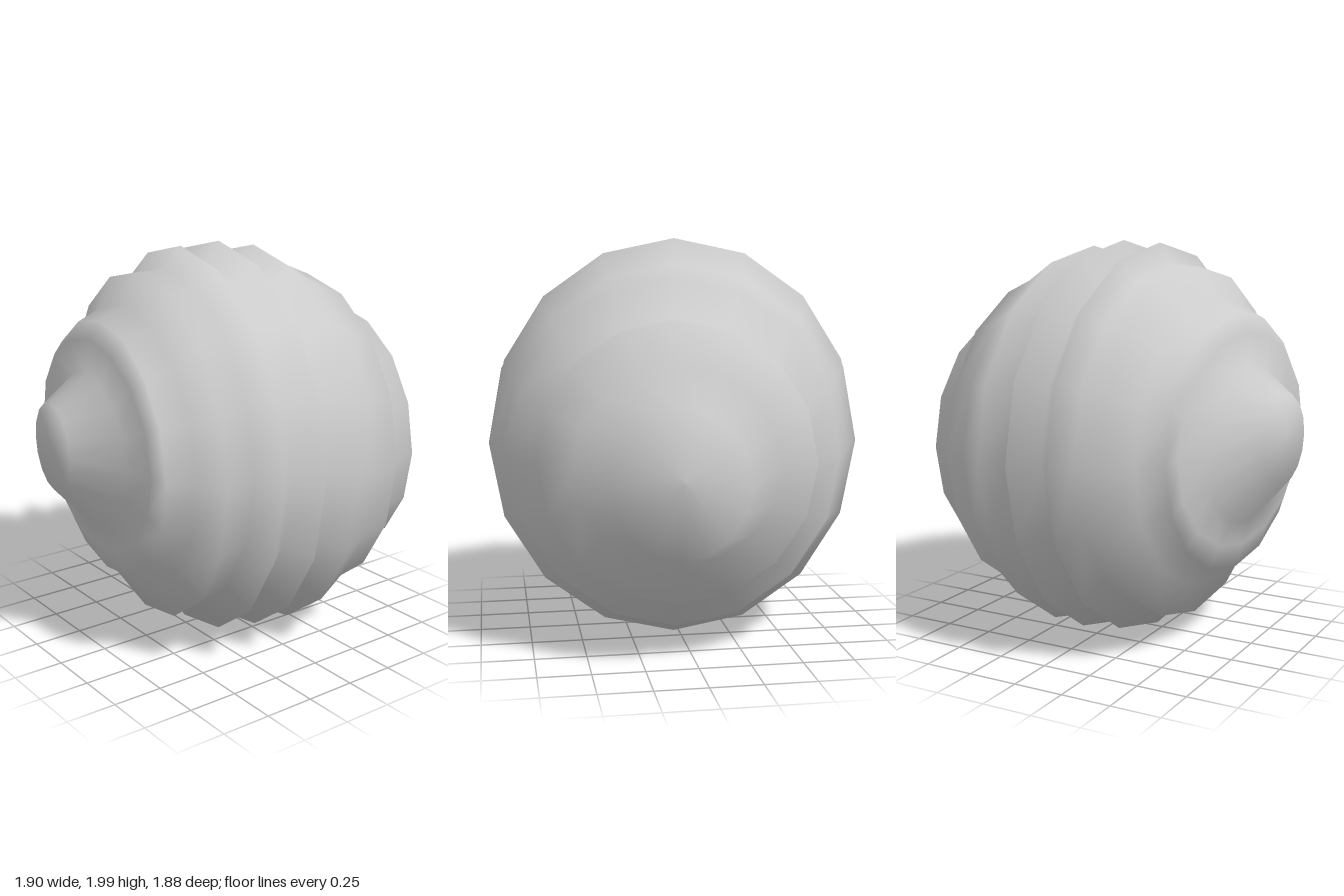
import * as THREE from 'three';

const SIDES = 16;
const SKEW = 0.105; // rings lean: x falls as z grows

// Cross-sections along x: [x, top y, bottom y, back z, front z]
const RINGS = [
  [-0.955, 1.09, 1.09, -0.1, -0.1],
  [-0.95, 1.30, 0.87, -0.31, 0.1],
  [-0.76, 1.42, 0.66, -0.48, 0.31],
  [-0.74, 1.58, 0.55, -0.69, 0.52],
  [-0.69, 1.67, 0.42, -0.71, 0.58],
  [-0.56, 1.73, 0.33, -0.75, 0.64],
  [-0.47, 1.88, 0.15, -0.88, 0.76],
  [-0.32, 1.885, 0.19, -0.85, 0.76],
  [-0.24, 1.99, 0.04, -0.94, 0.885],
  [-0.135, 1.88, 0.15, -0.83, 0.80],
  [-0.025, 2.0, 0.01, -0.94, 0.925],
  [0.065, 1.88, 0.13, -0.81, 0.83],
  [0.17, 1.97, 0.01, -0.89, 0.94],
  [0.33, 1.87, 0.11, -0.80, 0.88],
  [0.50, 1.80, 0.14, -0.71, 0.84],
  [0.55, 1.62, 0.29, -0.56, 0.73],
  [0.71, 1.62, 0.31, -0.55, 0.73],
  [0.735, 1.41, 0.50, -0.38, 0.57],
  [0.92, 1.25, 0.56, -0.2, 0.42],
  [0.95, 0.92, 0.92, 0.1, 0.1],
];

// Lofts elliptical rings into one closed smooth skin
function loft(rings) {
  const positions = [], index = [];
  rings.forEach(([x, top, bottom, back, front], i) => {
    const yc = (top + bottom) / 2, ry = (top - bottom) / 2;
    const zc = (back + front) / 2, rz = (front - back) / 2;
    for (let j = 0; j < SIDES; j++) {
      const a = (j / SIDES) * Math.PI * 2;
      const z = zc + rz * Math.sin(a);
      positions.push(x - SKEW * z, yc + ry * Math.cos(a), z);
      if (i === rings.length - 1) continue;
      const p = i * SIDES + j, q = i * SIDES + (j + 1) % SIDES;
      // the first and last rings are single points, so skip their flat triangles
      if (i > 0) index.push(p, q, p + SIDES);
      if (i < rings.length - 2) index.push(q, q + SIDES, p + SIDES);
    }
  });
  const geometry = new THREE.BufferGeometry();
  geometry.setAttribute('position', new THREE.Float32BufferAttribute(positions, 3));
  geometry.setIndex(index);
  geometry.computeVertexNormals();
  return geometry;
}

export function createModel() {
  const group = new THREE.Group();
  group.name = 'ribbedBall';
  // Ridged ball with a stepped collar and stubby end caps
  const body = new THREE.Mesh(loft(RINGS), new THREE.MeshStandardMaterial({ color: 0xcccccc }));
  body.name = 'ribbedBody';
  group.add(body);
  return group;
}
